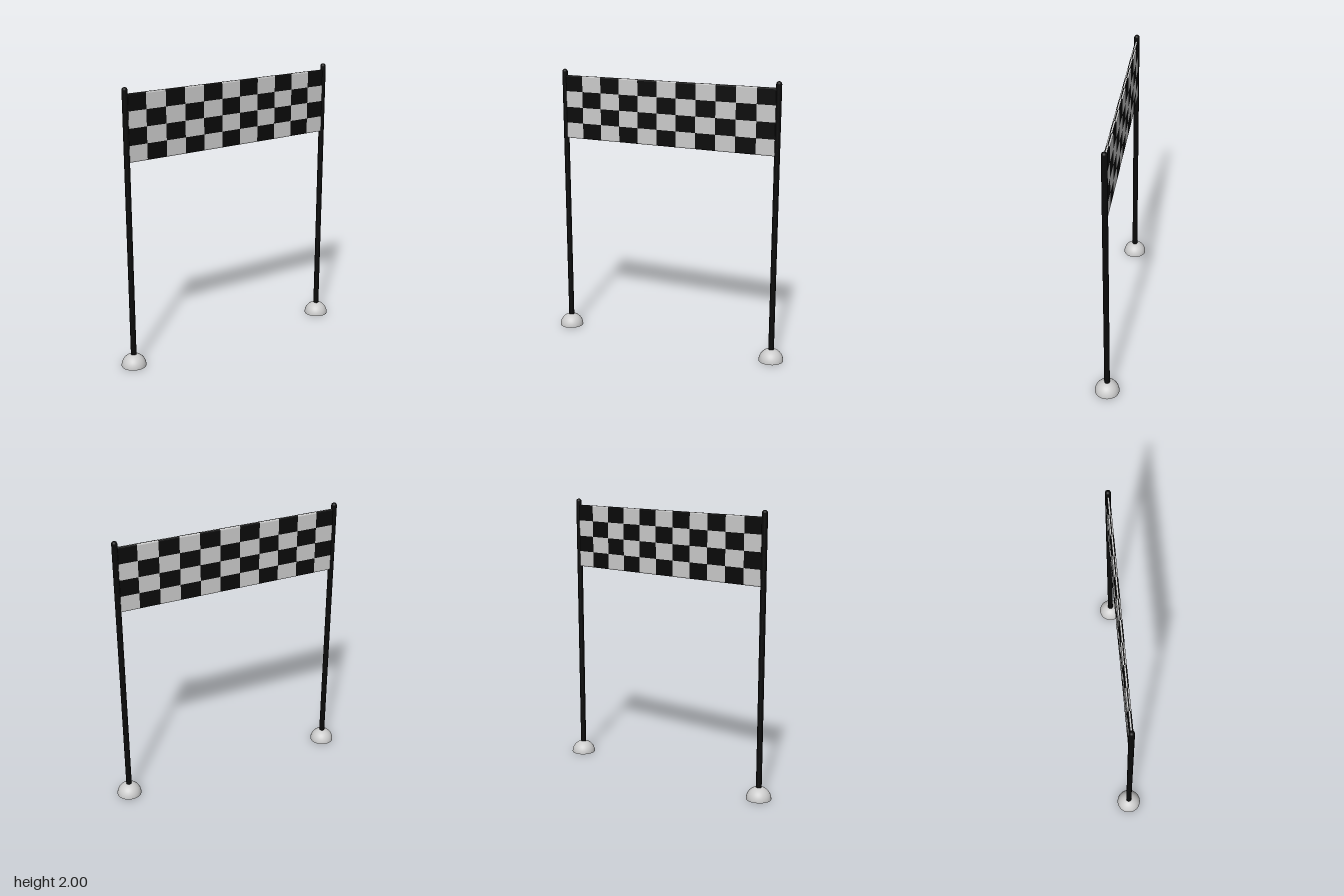
import * as THREE from 'three';

const POLE_X = 0.825, POLE_R = 0.02, HEIGHT = 2;
const COLS = 11, ROWS = 4, BOTTOM = 1.49, TOP = 1.955, HALF_T = 0.013, ROUND = 0.009;

const black = new THREE.MeshStandardMaterial({ color: 0x0a0a0a });
const grey = new THREE.MeshStandardMaterial({ color: 0xcccccc, side: THREE.DoubleSide });

// Closed banner cross-section as [z, y]: up the front, over the top, down the back
function bannerProfile() {
  const rowH = (TOP - BOTTOM) / ROWS;
  const pts = [];
  const corner = (cz, cy, start) => {
    for (let i = 0; i <= 3; i++) {
      const a = start + (i / 3) * Math.PI / 2;
      pts.push([cz + ROUND * Math.cos(a), cy + ROUND * Math.sin(a)]);
    }
  };
  const z = HALF_T - ROUND;
  corner(z, BOTTOM + ROUND, -Math.PI / 2);
  for (let r = 1; r < ROWS; r++) pts.push([HALF_T, BOTTOM + r * rowH]);
  corner(z, TOP - ROUND, 0);
  corner(-z, TOP - ROUND, Math.PI / 2);
  for (let r = ROWS - 1; r > 0; r--) pts.push([-HALF_T, BOTTOM + r * rowH]);
  corner(-z, BOTTOM + ROUND, Math.PI);
  return pts;
}

// All squares of one colour, swept along x column by column
function checkerGeometry(parity) {
  const profile = bannerProfile();
  const rowH = (TOP - BOTTOM) / ROWS, colW = (2 * POLE_X) / COLS;
  const pos = [];
  profile.forEach(([z0, y0], i) => {
    const [z1, y1] = profile[(i + 1) % profile.length];
    const row = Math.floor(((y0 + y1) / 2 - BOTTOM) / rowH + 1e-6);
    for (let c = 0; c < COLS; c++) {
      if ((row + c) % 2 !== parity) continue;
      const x0 = -POLE_X + c * colW, x1 = x0 + colW;
      pos.push(x0, y0, z0, x1, y0, z0, x1, y1, z1);
      pos.push(x0, y0, z0, x1, y1, z1, x0, y1, z1);
    }
  });
  const geo = new THREE.BufferGeometry();
  geo.setAttribute('position', new THREE.Float32BufferAttribute(pos, 3));
  geo.computeVertexNormals();
  return geo;
}

function addMesh(parent, name, geometry, material, x = 0, y = 0) {
  const mesh = new THREE.Mesh(geometry, material);
  mesh.name = name;
  mesh.position.set(x, y, 0);
  parent.add(mesh);
}

export function createModel() {
  const model = new THREE.Group();
  model.name = 'finishGate';

  // Round-ended poles standing in hollow domes
  const poleGeo = new THREE.CapsuleGeometry(POLE_R, HEIGHT - 2 * POLE_R, 8, 24);
  const domeGeo = new THREE.SphereGeometry(0.0885, 40, 16, 0, Math.PI * 2, 0, Math.PI / 2);
  for (const [side, s] of [['left', 1], ['right', -1]]) {
    addMesh(model, side + 'Pole', poleGeo, black, s * POLE_X, HEIGHT / 2);
    addMesh(model, side + 'BaseDome', domeGeo, grey, s * POLE_X);
  }

  // Chequered banner: bottom corner squares are light, top corner squares dark
  const banner = new THREE.Group();
  banner.name = 'banner';
  addMesh(banner, 'lightSquares', checkerGeometry(0), grey);
  addMesh(banner, 'darkSquares', checkerGeometry(1), black);
  model.add(banner);

  return model;
}
